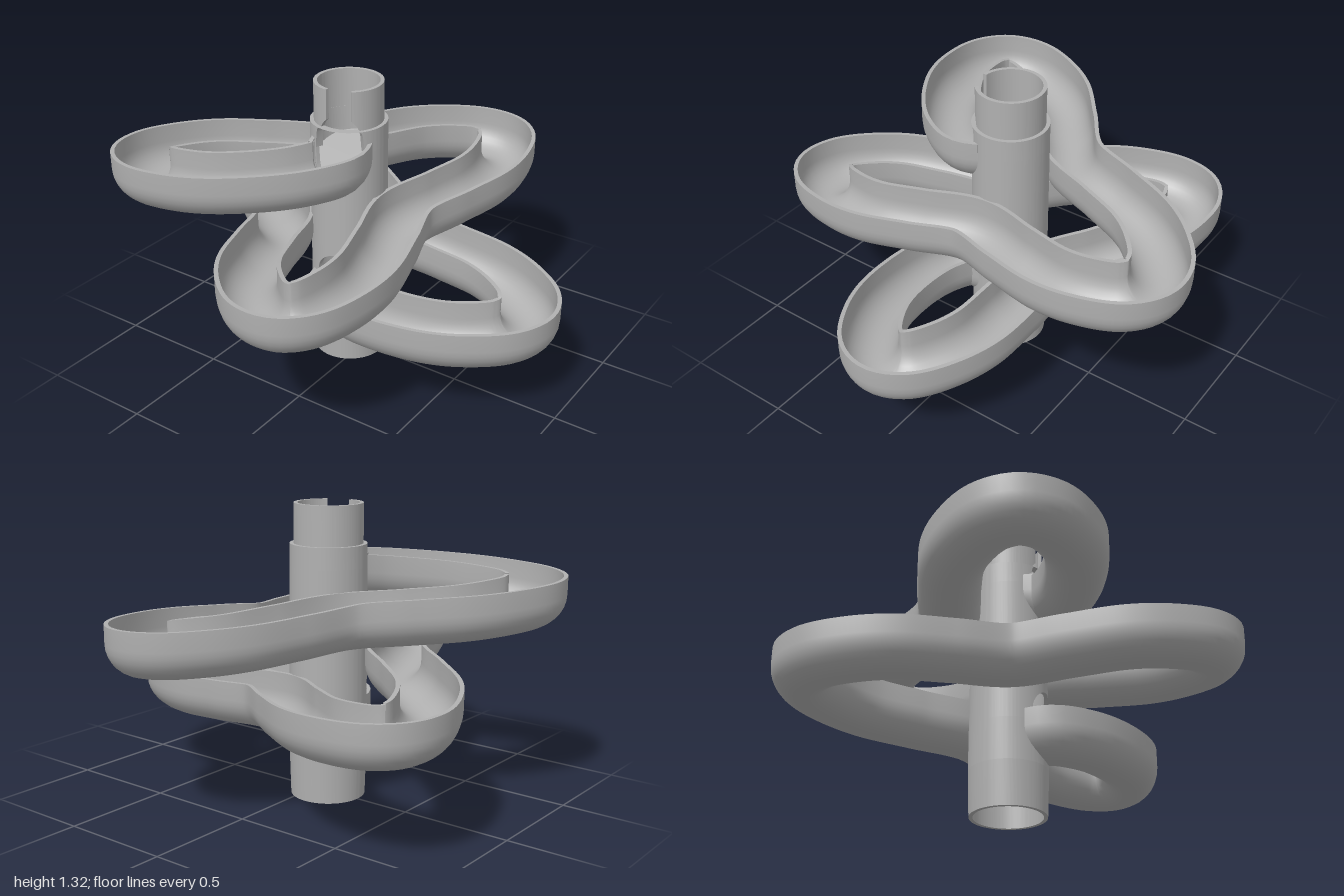
import * as THREE from 'three';
import { toCreasedNormals } from 'three/addons/utils/BufferGeometryUtils.js';

const CX = -0.075;                 // tower axis
const GATE = THREE.MathUtils.degToRad(72); // direction of both openings
const HOLE = 0.115;

// Skin a row of closed sections (outer points, then inner points reversed).
function loft(rings, capped) {
  const n = rings[0].length, pos = [], idx = [];
  rings.forEach(r => r.forEach(p => pos.push(p.x, p.y, p.z)));
  for (let i = 0; i < rings.length - 1; i++) {
    for (let j = 0; j < n; j++) {
      const a = i * n + j, b = i * n + (j + 1) % n;
      idx.push(a, a + n, b, a + n, b + n, b);
    }
  }
  if (capped) {
    const e = (rings.length - 1) * n;
    for (let j = 0; j < n / 2 - 1; j++) {
      const k = n - 1 - j;
      idx.push(j, j + 1, k - 1, j, k - 1, k);
      idx.push(e + j, e + k - 1, e + j + 1, e + j, e + k, e + k - 1);
    }
  }
  const g = new THREE.BufferGeometry();
  g.setAttribute('position', new THREE.Float32BufferAttribute(pos, 3));
  g.setIndex(idx);
  return toCreasedNormals(g, 0.6);
}

// Tube wall whose lower and upper edges vary with the angle from the gate.
function wall(bottom, top, radius, thick, gap = 0) {
  const rings = [], steps = 144;
  for (let i = 0; i <= steps; i++) {
    const d = gap + (2 * Math.PI - 2 * gap) * i / steps;
    const off = Math.min(d, 2 * Math.PI - d), a = GATE + d;
    const b = bottom(off), t = top(off);
    const at = (r, y) => new THREE.Vector3(CX + r * Math.cos(a), y, r * Math.sin(a));
    rings.push([at(radius(t), t), at(radius(b), b), at(radius(b) - thick, b), at(radius(t) - thick, t)]);
  }
  return loft(rings, gap > 0);
}

// Upper (sign 1) or lower (sign -1) edge of a rounded opening.
function edge(low, high, sign) {
  return off => {
    const d = 0.17 * off;
    if (d >= HOLE) return (low + high) / 2;
    const h = Math.sqrt(HOLE * HOLE - d * d);
    return sign > 0 ? high + h : low - h;
  };
}

// Centreline: five lobes visited in steps of 144 degrees.
function trackCurve() {
  const half = [[0.86, 0.1], [0.73, 0.195], [0.58, 0.25], [0.35, 0.267]];
  const pts = [];
  const add = (along, side, angle) => pts.push(new THREE.Vector3(
    CX + along * Math.cos(angle) - side * Math.sin(angle), 0,
    along * Math.sin(angle) + side * Math.cos(angle)));
  const entry = [[0.031, 0.095], [0.062, 0.18], [0.19, 0.243]];
  for (let k = 0; k < 5; k++) {
    const angle = 2 * GATE * (k + 1);
    if (k === 0) entry.forEach(([u, v]) => add(u, -v, angle));
    [...half].reverse().forEach(([u, v]) => add(u, -v, angle));
    add(0.9, 0, angle);
    half.forEach(([u, v]) => add(u, v, angle));
    if (k < 4) add(0.295, 0, angle + GATE);
    else [...entry].reverse().forEach(([u, v]) => add(u, v, angle));
  }
  return new THREE.CatmullRomCurve3(pts, false, 'centripetal');
}

// U-shaped gutter swept down the centreline.
function troughGeometry() {
  const R = 0.135, r = 0.117, depth = 0.08, arc = 16;
  const outline = rad => {
    const o = [[rad, 0]];
    for (let i = 0; i <= arc; i++) {
      const a = Math.PI * i / arc;
      o.push([rad * Math.cos(a), -depth - rad * Math.sin(a)]);
    }
    o.push([-rad, 0]);
    return o;
  };
  const section = [...outline(R), ...outline(r).reverse()];
  const curve = trackCurve(), steps = 460, rings = [];
  curve.arcLengthDivisions = 1500;
  for (let i = 0; i <= steps; i++) {
    const u = i / steps, p = curve.getPointAt(u), t = curve.getTangentAt(u);
    const rim = 1.083 - 0.652 * u;
    rings.push(section.map(([s, y]) => new THREE.Vector3(p.x + t.z * s, rim + y, p.z - t.x * s)));
  }
  return loft(rings, true);
}

export function createModel() {
  const grey = new THREE.MeshStandardMaterial({ color: 0xb0b0b0 });
  grey.name = 'grey plastic';
  const model = new THREE.Group();
  model.name = 'marbleRun';
  const add = (name, geometry, parent = model) => {
    const m = new THREE.Mesh(geometry, grey);
    m.name = name;
    parent.add(m);
    return m;
  };

  add('spiralTrough', troughGeometry());

  // Central tower, split at its two openings
  const tower = new THREE.Group();
  tower.name = 'tower';
  model.add(tower);
  const flat = y => () => y;
  const radius = y => (y < 0.2 ? 0.167 + 0.03 * y : 0.173 - 0.004 * (y - 0.2));
  const exit = [0.35, 0.43], start = [1.0, 1.085];
  const startTop = edge(...start, 1);
  add('towerFoot', wall(flat(0), flat(0.2), radius, 0.017), tower);
  add('towerLower', wall(flat(0.2), edge(...exit, -1), radius, 0.017), tower);
  add('towerMiddle', wall(edge(...exit, 1), edge(...start, -1), radius, 0.017), tower);
  add('towerShoulder', wall(o => Math.min(startTop(o), 1.14), flat(1.14), radius, 0.035), tower);

  // Narrower slotted collar on top
  add('slottedCollar', wall(o => Math.max(startTop(o), 1.135), flat(1.315), () => 0.152, 0.017, 0.38), tower);

  // Sloping floor that sends the marble out through the upper opening
  const floor = new THREE.CylinderGeometry(0.156, 0.156, 0.015, 48);
  const p = floor.attributes.position;
  for (let i = 0; i < p.count; i++) {
    const along = p.getX(i) * Math.cos(GATE) + p.getZ(i) * Math.sin(GATE);
    p.setY(i, p.getY(i) - along * 0.4);
  }
  floor.computeVertexNormals();
  add('slopingFloor', toCreasedNormals(floor, 0.6), tower).position.set(CX, 0.955, 0);

  return model;
}
